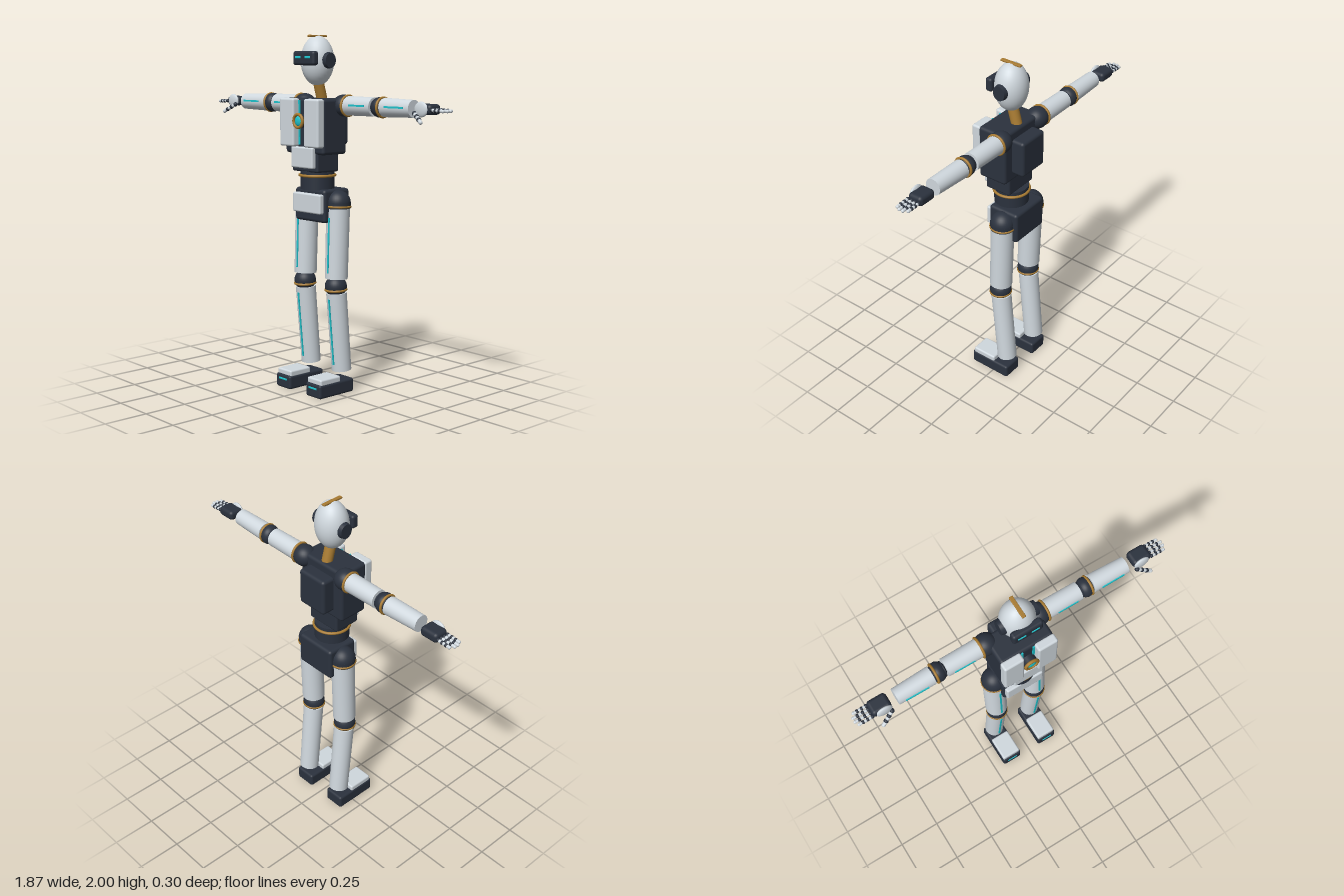
import * as THREE from 'three';
import { RoundedBoxGeometry } from 'three/addons/geometries/RoundedBoxGeometry.js';

const material = (name, color) => {
  const m = new THREE.MeshStandardMaterial({ color });
  m.name = name;
  return m;
};

export function createModel() {
  const model = new THREE.Group();
  model.name = 'robot';
  const shell = material('pale shell', 0xd0d8de);
  const dark = material('dark frame', 0x2b323e);
  const gold = material('brass', 0xa87b32);
  const glow = material('cyan light', 0x1fc3cc);
  const UP = new THREE.Vector3(0, 1, 0);

  const add = (name, geometry, mat, pos) => {
    const mesh = new THREE.Mesh(geometry, mat);
    mesh.name = name;
    mesh.position.set(...pos);
    model.add(mesh);
    return mesh;
  };
  // Rounded block given by its extents on each axis
  const block = (name, mat, [x0, x1], [y0, y1], [z0, z1], r = 0.012) => {
    const size = [x1 - x0, y1 - y0, z1 - z0];
    const radius = Math.min(r, Math.min(...size) * 0.45);
    return add(name, new RoundedBoxGeometry(...size, 3, radius), mat,
      [(x0 + x1) / 2, (y0 + y1) / 2, (z0 + z1) / 2]);
  };
  const ball = (name, mat, pos, [rx, ry, rz]) => {
    const mesh = add(name, new THREE.SphereGeometry(1, 32, 20), mat, pos);
    mesh.scale.set(rx, ry, rz);
    return mesh;
  };
  // Stretch a piece from a to b
  const between = (name, mat, a, b, makeGeometry) => {
    const p = new THREE.Vector3(...a), q = new THREE.Vector3(...b);
    const dir = q.clone().sub(p);
    const mesh = add(name, makeGeometry(dir.length()), mat, p.clone().add(q).multiplyScalar(0.5).toArray());
    mesh.quaternion.setFromUnitVectors(UP, dir.normalize());
    return mesh;
  };
  const rod = (name, mat, a, b, ra, rb = ra, sides = 32) =>
    between(name, mat, a, b, (len) => new THREE.CylinderGeometry(rb, ra, len, sides));
  const strip = (name, a, b, w = 0.01) =>
    between(name, glow, a, b, (len) => new THREE.BoxGeometry(w, len, 0.008));
  const ring = (name, pos, r, tube, axis) => {
    const mesh = add(name, new THREE.TorusGeometry(r, tube, 10, 40), gold, pos);
    mesh.quaternion.setFromUnitVectors(new THREE.Vector3(0, 0, 1), new THREE.Vector3(...axis).normalize());
    return mesh;
  };

  // Head, crest and visor
  ball('head', shell, [0, 1.86, 0], [0.096, 0.137, 0.09]);
  block('crest', gold, [-0.011, 0.011], [1.988, 2], [-0.062, 0.065], 0.004);
  block('visor', dark, [-0.088, 0.088], [1.835, 1.912], [0.065, 0.108], 0.015);
  rod('neck', gold, [0, 1.61, -0.045], [0, 1.75, -0.005], 0.03);

  // Torso
  block('chest', dark, [-0.158, 0.158], [1.35, 1.655], [-0.077, 0.1], 0.018);
  block('backpack', dark, [-0.095, 0.095], [1.395, 1.605], [-0.15, -0.06], 0.018);
  block('abdomen', dark, [-0.106, 0.106], [1.25, 1.39], [-0.065, 0.095], 0.012);
  block('bellyPlate', shell, [-0.09, 0.09], [1.272, 1.39], [0.08, 0.12], 0.01);
  rod('waist', dark, [0, 1.15, 0], [0, 1.255, 0], 0.096, 0.096, 40);
  ring('waistRing', [0, 1.228, 0], 0.099, 0.008, [0, 1, 0]);
  block('pelvis', dark, [-0.125, 0.125], [0.97, 1.155], [-0.13, 0.06], 0.018);
  block('pelvisPlate', shell, [-0.115, 0.115], [1.02, 1.13], [0.05, 0.086], 0.01);

  // Chest light
  rod('chestLightHousing', dark, [0, 1.533, 0.095], [0, 1.533, 0.138], 0.038);
  ring('chestLightRing', [0, 1.533, 0.142], 0.036, 0.009, [0, 0, 1]);
  ball('chestLight', glow, [0, 1.533, 0.137], [0.03, 0.03, 0.013]);

  for (const s of [1, -1]) {
    const mirror = (x0, x1) => [Math.min(s * x0, s * x1), Math.max(s * x0, s * x1)];

    // Face and chest details
    block('eye', glow, mirror(0.016, 0.062), [1.872, 1.884], [0.104, 0.112], 0.003);
    const ear = rod('earDisc', dark, [s * 0.08, 1.862, 0], [s * 0.11, 1.862, 0], 0.042, 0.037);
    ear.scale.x = 1.12;
    block('chestPlate', shell, mirror(0.042, 0.16), [1.39, 1.655], [0.09, 0.142], 0.012);
    strip('chestStrip', [s * 0.034, 1.40, 0.102], [s * 0.034, 1.645, 0.102], 0.012);

    // Arm
    const y = 1.617, z = -0.05;
    ball('shoulder', dark, [s * 0.16, y, z], [0.065, 0.06, 0.062]);
    ring('shoulderRing', [s * 0.196, y, z], 0.055, 0.007, [1, 0, 0]);
    rod('upperArm', shell, [s * 0.2, y, z], [s * 0.402, y, z], 0.053, 0.051);
    ball('elbow', dark, [s * 0.443, y, z], [0.046, 0.055, 0.055]);
    rod('elbowCore', dark, [s * 0.41, y, z], [s * 0.475, y, z], 0.044);
    ring('elbowRing', [s * 0.463, y, z], 0.051, 0.007, [1, 0, 0]);
    rod('forearm', shell, [s * 0.478, y, z], [s * 0.69, y, -0.046], 0.051, 0.046);
    strip('upperArmStrip', [s * 0.25, 1.622, 0.001], [s * 0.37, 1.622, 0.001]);
    strip('forearmStrip', [s * 0.52, 1.622, 0.001], [s * 0.655, 1.622, 0]);

    // Hand: palm, front guard, jointed fingers and thumb
    block('palm', dark, mirror(0.725, 0.835), [1.59, 1.645], [-0.095, -0.008], 0.02);
    ball('handGuard', shell, [s * 0.772, 1.618, -0.01], [0.045, 0.04, 0.014]);
    const digit = (name, a, b, r) => {
      const p = new THREE.Vector3(...a), q = new THREE.Vector3(...b);
      const at = (t) => p.clone().lerp(q, t).toArray();
      for (let i = 0; i < 3; i++) {
        ball(name + 'Joint', dark, at(i / 3), [r * 1.15, r * 1.15, r * 1.15]);
        rod(name + 'Segment', shell, at(i / 3 + 0.09), at((i + 1) / 3 - 0.06), r, r * 0.92, 12);
      }
      ball(name + 'Tip', shell, at(0.94), [r, r, r]);
    };
    [0.918, 0.93, 0.93, 0.915].forEach((tip, i) => {
      const fz = -0.016 - i * 0.022;
      digit('finger', [s * 0.838, 1.616, fz], [s * tip, 1.612, fz], 0.009);
    });
    digit('thumb', [s * 0.738, 1.597, 0.002], [s * 0.812, 1.552, 0.033], 0.011);

    // Leg
    const x = s * 0.13;
    ball('hip', dark, [x, 1.08, -0.038], [0.07, 0.07, 0.07]);
    rod('hipSkirt', dark, [x, 1.05, -0.038], [x, 1.085, -0.038], 0.07);
    ring('hipRing', [x, 1.06, -0.038], 0.067, 0.007, [0, 1, -0.03]);
    rod('thigh', shell, [x, 0.655, -0.025], [x, 1.055, -0.038], 0.064, 0.066);
    ball('knee', dark, [x, 0.61, -0.022], [0.062, 0.06, 0.062]);
    ring('kneeRing', [x, 0.592, -0.022], 0.058, 0.007, [0, 1, 0.05]);
    rod('shin', shell, [x, 0.125, -0.067], [x, 0.575, -0.026], 0.056, 0.058);
    strip('thighStrip', [x, 0.69, 0.038], [x, 1.0, 0.029]);
    strip('shinStrip', [x, 0.16, -0.007], [x, 0.54, 0.029]);

    // Foot
    block('foot', dark, mirror(0.066, 0.19), [0, 0.08], [-0.108, 0.15], 0.014);
    block('footCap', shell, mirror(0.07, 0.186), [0.07, 0.108], [-0.01, 0.14], 0.01);
    block('toeLight', glow, mirror(0.095, 0.161), [0.049, 0.06], [0.146, 0.154], 0.003);
  }
  return model;
}
